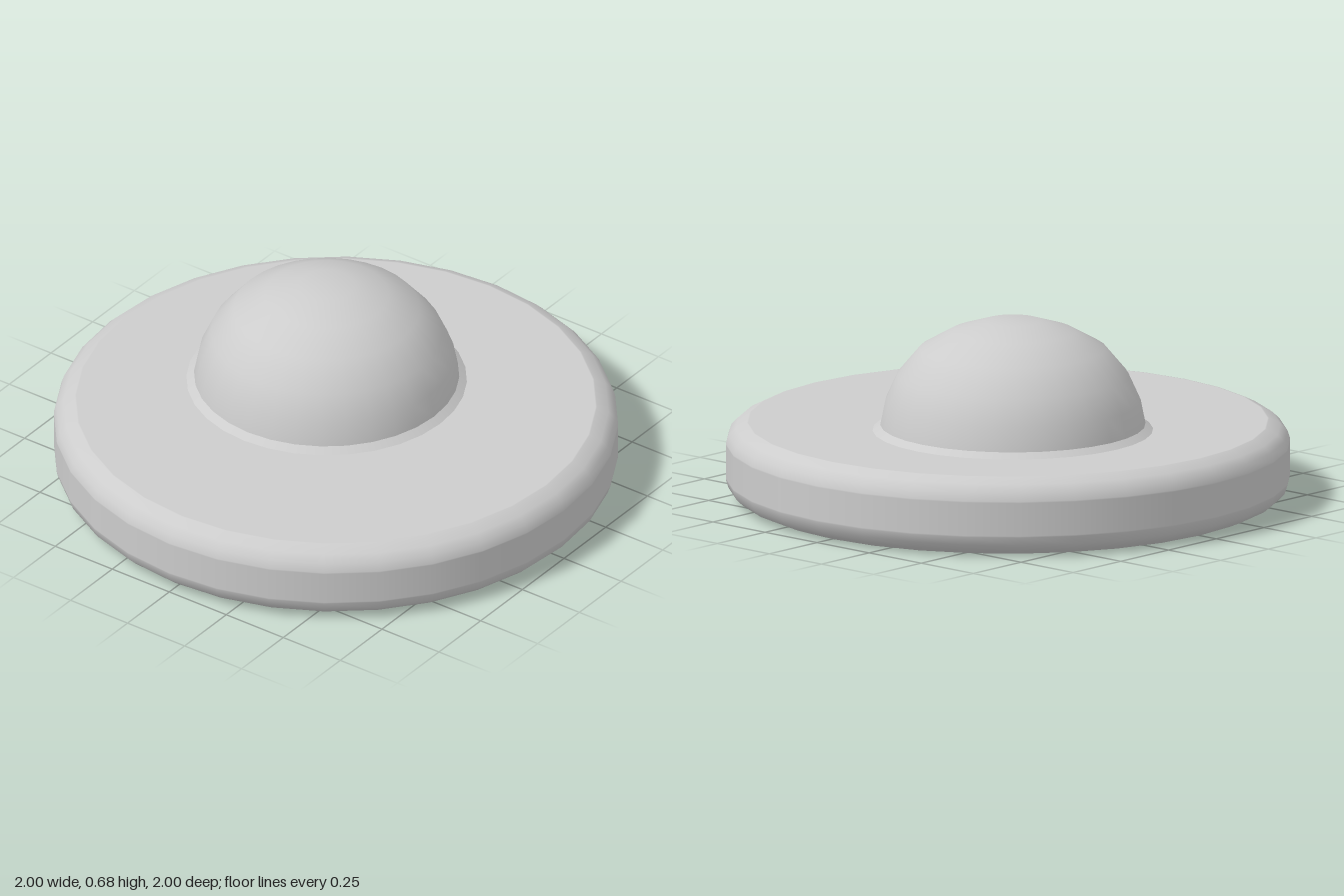
import * as THREE from 'three';

// Revolve a profile of [radius, height] pairs, listed bottom to top
function lathe(name, profile, material) {
  const points = profile.map(([r, y]) => new THREE.Vector2(r, y));
  const mesh = new THREE.Mesh(new THREE.LatheGeometry(points, 32), material);
  mesh.name = name;
  return mesh;
}

export function createModel() {
  const group = new THREE.Group();
  group.name = 'domedDisc';
  const grey = new THREE.MeshStandardMaterial({ name: 'lightGrey', color: 0xcccccc });

  // Round base with softened rims; doubled points keep the faces flat
  const base = lathe('base', [
    [0, 0], [0.915, 0], [0.92, 0], [0.965, 0.02], [0.99, 0.045], [1, 0.075], [1, 0.08],
    [1, 0.2], [1, 0.205], [0.99, 0.235], [0.965, 0.26], [0.925, 0.28], [0.92, 0.28], [0, 0.28],
  ], grey);

  // Off-centre dome with a sloped collar around its foot
  const knob = new THREE.Group();
  knob.name = 'knob';
  knob.position.set(-0.112, 0, -0.097);
  knob.add(
    lathe('collar', [[0.497, 0.28], [0.47, 0.3]], grey),
    lathe('dome', [
      [0.47, 0.3], [0.453, 0.385], [0.41, 0.48], [0.33, 0.575],
      [0.22, 0.637], [0.1, 0.675], [0, 0.675],
    ], grey),
  );

  group.add(base, knob);
  return group;
}
